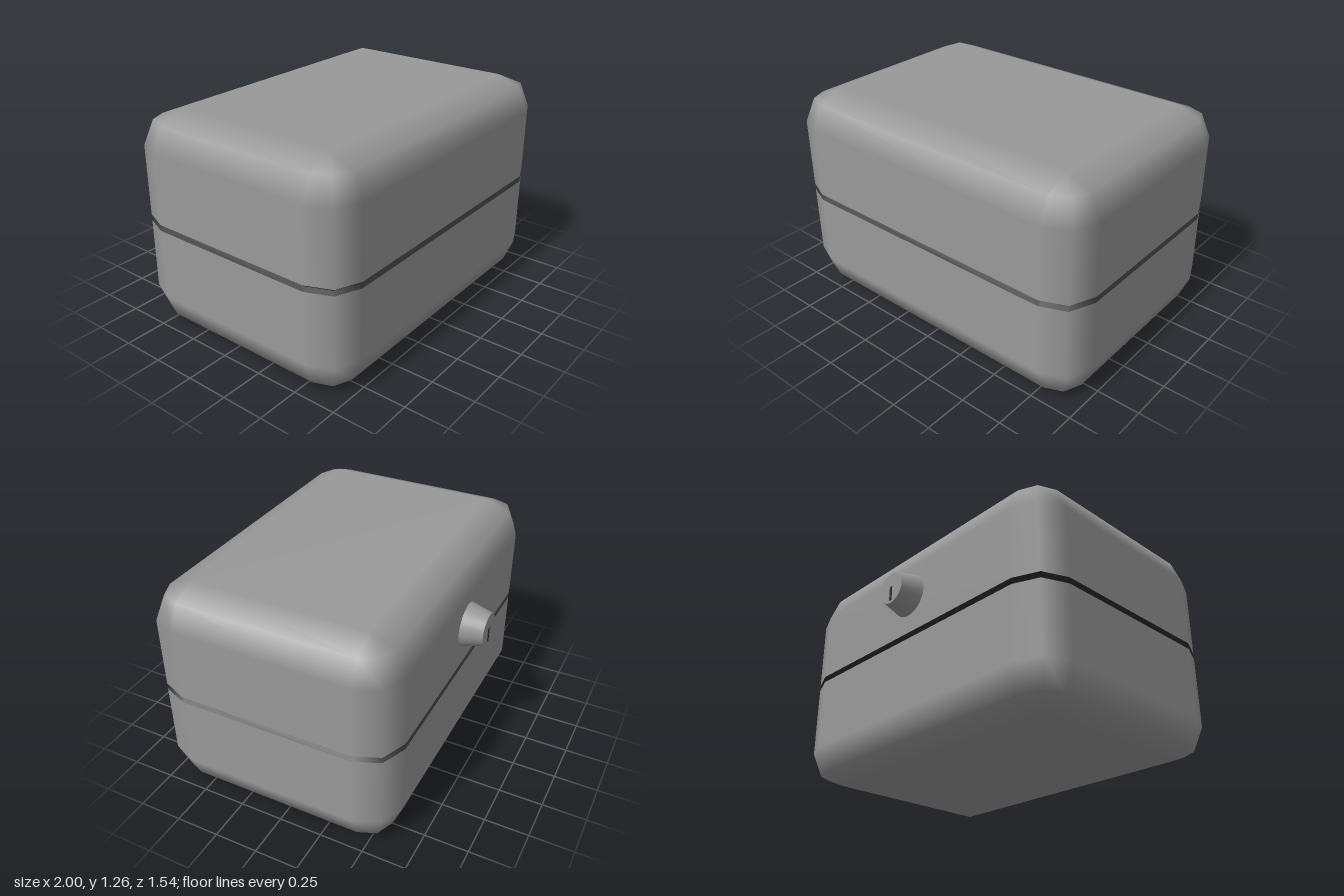
import * as THREE from 'three';

const R = 0.2;                 // edge rounding
const HX = 0.8, HZ = 0.505;    // half size of the flat core
const CZ = 0.065;              // the case sits slightly forward of the lock
const H = 1.26;

// Rounded-rectangle rings stacked upward; row = [y, corner radius, normal elevation]
function ringShell(rows, cap) {
  const pos = [], nor = [], idx = [], n = 12;
  for (const [y, r, e] of rows) {
    for (let k = 0; k < 4; k++) {
      const sx = k === 0 || k === 3 ? 1 : -1, sz = k < 2 ? 1 : -1;
      for (let j = 0; j < 3; j++) {
        const a = (k * 2 + j) * Math.PI / 4;
        pos.push(sx * HX + r * Math.cos(a), y, CZ + sz * HZ + r * Math.sin(a));
        nor.push(Math.cos(a) * Math.cos(e), Math.sin(e), Math.sin(a) * Math.cos(e));
      }
    }
  }
  for (let i = 0; i < rows.length - 1; i++) {
    for (let j = 0; j < n; j++) {
      const a = i * n + j, b = i * n + (j + 1) % n;
      idx.push(a, b + n, b, a, a + n, b + n);
    }
  }
  // Flat panel closing the bottom or the top
  if (cap === 'bottom') idx.push(0, 3, 6, 0, 6, 9);
  if (cap === 'top') {
    const t = (rows.length - 1) * n;
    idx.push(t, t + 6, t + 3, t, t + 9, t + 6);
  }
  const g = new THREE.BufferGeometry();
  g.setAttribute('position', new THREE.Float32BufferAttribute(pos, 3));
  g.setAttribute('normal', new THREE.Float32BufferAttribute(nor, 3));
  g.setIndex(idx);
  return g;
}

export function createModel() {
  const group = new THREE.Group();
  const grey = new THREE.MeshStandardMaterial({ color: 0x999999 });
  grey.name = 'grey';
  const dark = new THREE.MeshStandardMaterial({ color: 0x2e2e2e });
  dark.name = 'dark';

  const add = (name, geometry, material) => {
    const mesh = new THREE.Mesh(geometry, material);
    mesh.name = name;
    group.add(mesh);
    return mesh;
  };

  // Lower and upper halves with two-step rounded edges
  const seamLow = 0.615, seamHigh = 0.65;
  const arc = [0, 1, 2].map(i => i * Math.PI / 4);
  const lower = arc.map(e => [R - R * Math.sin(e), R * Math.cos(e), -e]).reverse();
  lower.push([seamLow, R, 0]);
  const upper = arc.map(e => [H - R + R * Math.sin(e), R * Math.cos(e), e]);
  upper.unshift([seamHigh, R, 0]);
  add('lowerCase', ringShell(lower, 'bottom'), grey);
  add('lid', ringShell(upper, 'top'), grey);

  // V-shaped groove between the halves
  const mid = (seamLow + seamHigh) / 2, deep = R - 0.025;
  add('seamGroove', ringShell([
    [seamLow, R, 0.95], [mid, deep, 0.95],
    [mid, deep, -0.95], [seamHigh, R, -0.95],
  ]), dark);

  // Tapered lock on the back
  const lock = add('lock', new THREE.CylinderGeometry(0.093, 0.13, 0.14, 32), grey);
  lock.rotation.x = -Math.PI / 2;
  lock.position.set(0, 0.885, -0.695);

  // Key slot
  const slot = add('keySlot', new THREE.BoxGeometry(0.018, 0.085, 0.006), dark);
  slot.position.set(0, 0.85, -0.765);

  return group;
}
